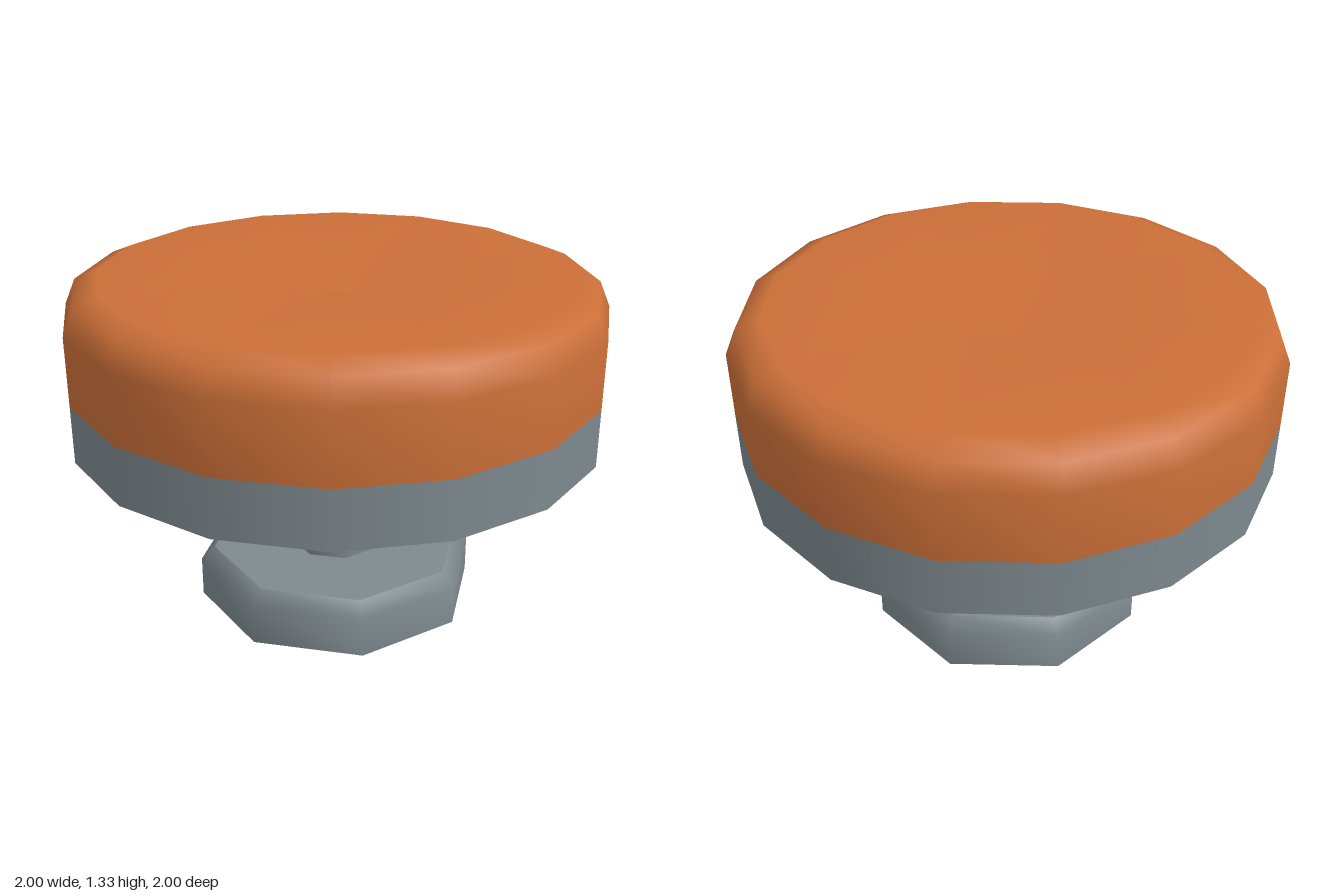
import * as THREE from 'three';
import { mergeGeometries } from 'three/addons/utils/BufferGeometryUtils.js';

const SEAT_SIDES = 16, LEG_SIDES = 8;

// Corner radius of a regular polygon from the distance to its flat side
const corner = (flat, sides) => flat / Math.cos(Math.PI / sides);

// Faceted turned part: each run of [distance, y] points is smooth, edges between runs are sharp
function turned(name, sides, material, runs) {
  const parts = runs.map(run => new THREE.LatheGeometry(
    run.map(([d, y]) => new THREE.Vector2(corner(d, sides), y)), sides, Math.PI / sides));
  const mesh = new THREE.Mesh(mergeGeometries(parts), material);
  mesh.name = name;
  return mesh;
}

// Cushion: rounded 16-sided rim, whose top sinks to an 8-sided dimple
function cushionGeometry() {
  const n = SEAT_SIDES, half = n / 2;
  const positions = [], index = [];
  const addRing = (sides, radius, y, phase) => {
    const start = positions.length / 3;
    for (let i = 0; i < sides; i++) {
      const a = phase + i * 2 * Math.PI / sides;
      positions.push(radius * Math.sin(a), y, radius * Math.cos(a));
    }
    return start;
  };

  // Side and rounded shoulder
  const rings = [[1, 0.94], [1, 1.2], [0.96, 1.295], [0.87, 1.333]]
    .map(([d, y]) => addRing(n, corner(d, n), y, Math.PI / n));
  for (let r = 0; r < rings.length - 1; r++) {
    for (let i = 0; i < n; i++) {
      const j = (i + 1) % n, lo = rings[r], hi = rings[r + 1];
      index.push(lo + i, lo + j, hi + i, lo + j, hi + j, hi + i);
    }
  }

  // Top surface and dimple
  const rim = rings[rings.length - 1];
  const dimple = addRing(half, 0.27, 1.325, 0);
  const centre = addRing(1, 0, 1.16, 0);
  for (let j = 0; j < half; j++) {
    const before = rim + (2 * j - 1 + n) % n, at = rim + 2 * j, after = rim + 2 * j + 1;
    const inner = dimple + j, next = dimple + (j + 1) % half;
    index.push(before, at, inner, at, after, inner, after, next, inner, inner, next, centre);
  }

  const geometry = new THREE.BufferGeometry();
  geometry.setAttribute('position', new THREE.Float32BufferAttribute(positions, 3));
  geometry.setIndex(index);
  geometry.computeVertexNormals();
  return geometry;
}

export function createModel() {
  const leather = new THREE.MeshStandardMaterial({ color: 0xcb6f38 });
  leather.name = 'orange leather';
  const metal = new THREE.MeshStandardMaterial({ color: 0x7e898e });
  metal.name = 'grey metal';

  const stool = new THREE.Group();
  stool.name = 'stool';

  const cushion = new THREE.Mesh(cushionGeometry(), leather);
  cushion.name = 'cushion';

  stool.add(
    cushion,
    // Seat pan with bevelled underside
    turned('seatPan', SEAT_SIDES, metal, [
      [[0, 0.67], [0.87, 0.67], [1, 0.72]],
      [[1, 0.72], [1, 0.94]],
    ]),
    turned('post', LEG_SIDES, metal, [[[0.17, 0.21], [0.17, 0.67]]]),
    // Foot with chamfered top edge
    turned('foot', LEG_SIDES, metal, [
      [[0, 0], [0.51, 0]],
      [[0.51, 0], [0.51, 0.16], [0.46, 0.21]],
      [[0.46, 0.21], [0, 0.21]],
    ]),
  );
  return stool;
}
